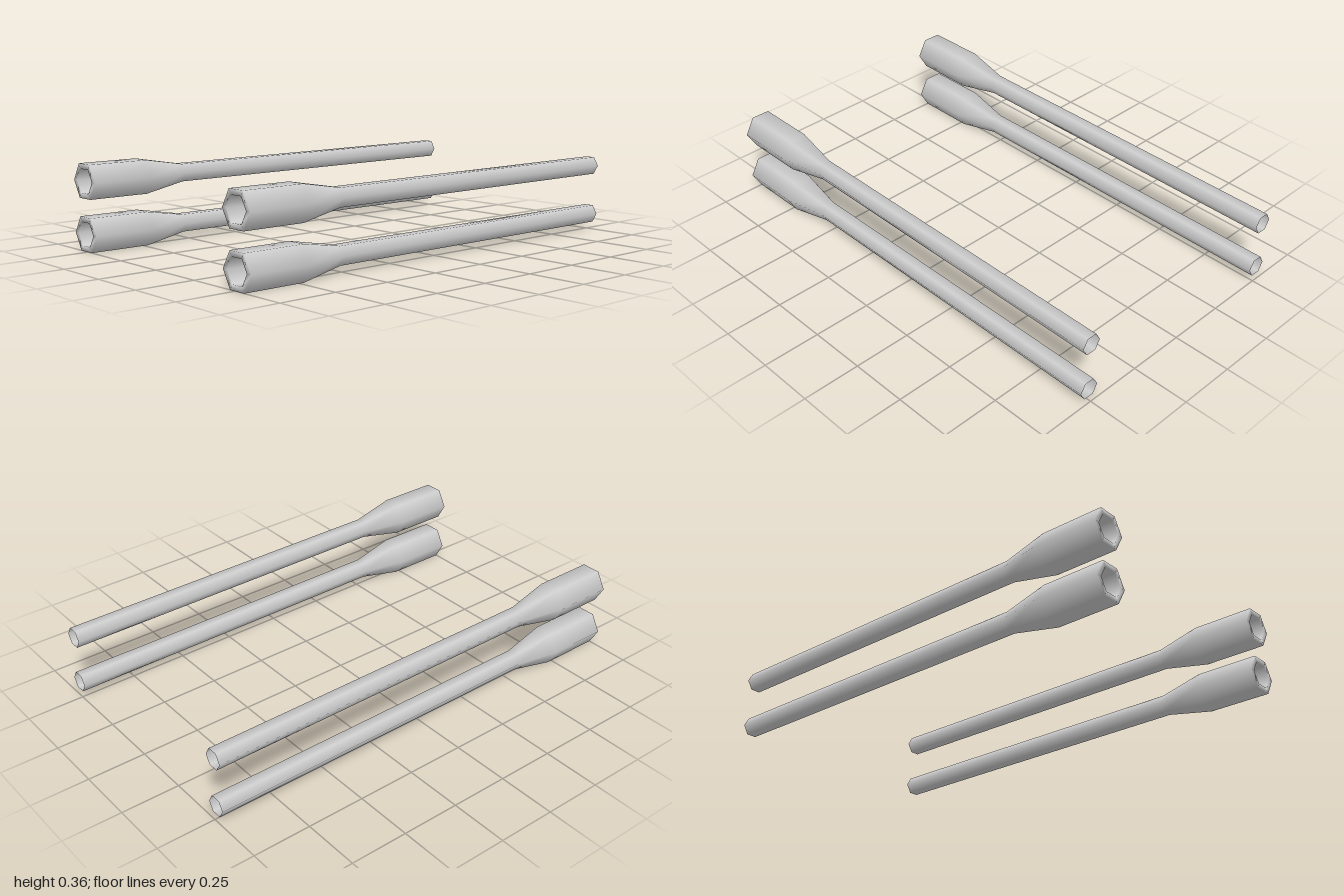
import * as THREE from 'three';

// Six-sided hollow barrel along z: open thin rear, flared front with a recess
function barrelGeometry() {
  const profile = [
    [0.0435, -1], [0.0435, 0.535],              // thin tube
    [0.0825, 0.73], [0.0825, 1],                // taper and flared head
    [0.057, 1], [0.057, 0.88], [0, 0.88],       // rim, recess wall, recess floor
  ].map(([r, y]) => new THREE.Vector2(r, y));
  const geometry = new THREE.LatheGeometry(profile, 6, Math.PI / 2);
  geometry.rotateX(Math.PI / 2);
  return geometry;
}

export function createModel() {
  const group = new THREE.Group();
  group.name = 'barrels';
  const material = new THREE.MeshStandardMaterial({ color: 0xcccccc, side: THREE.DoubleSide });
  const geometry = barrelGeometry();

  // A stacked pair on each side
  for (const [side, x] of [['left', 0.512], ['right', -0.512]]) {
    for (const [level, y] of [['Lower', 0.0715], ['Upper', 0.291]]) {
      const barrel = new THREE.Mesh(geometry, material);
      barrel.name = `${side}${level}Barrel`;
      barrel.position.set(x, y, 0);
      group.add(barrel);
    }
  }
  return group;
}
